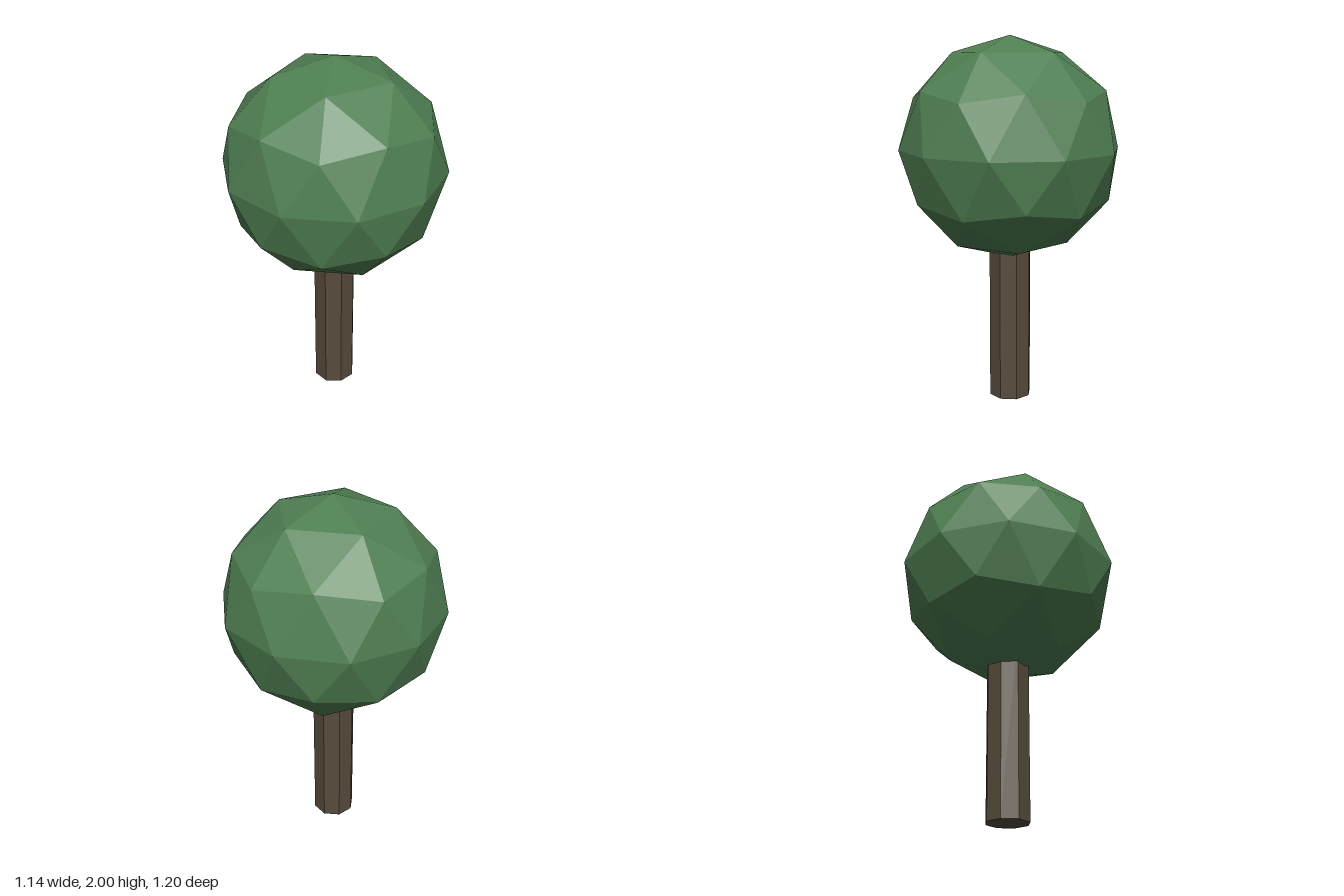
import * as THREE from 'three';

export function createModel() {
  const model = new THREE.Group();
  model.name = 'tree';

  const leafGreen = new THREE.MeshStandardMaterial({ color: 0x4f7f52, flatShading: true });
  leafGreen.name = 'leaf green';
  const barkBrown = new THREE.MeshStandardMaterial({ color: 0x574b3b, flatShading: true });
  barkBrown.name = 'bark brown';

  // Trunk: eight-sided post running up into the foliage
  const trunkHeight = 1;
  const trunk = new THREE.Mesh(
    new THREE.CylinderGeometry(0.118, 0.118, trunkHeight, 8).translate(0, trunkHeight / 2, 0),
    barkBrown
  );
  trunk.name = 'trunk';

  // Foliage: faceted ball turned so one corner points straight up
  const golden = (1 + Math.sqrt(5)) / 2;
  const ball = new THREE.IcosahedronGeometry(0.6, 1)
    .rotateX(-Math.atan(golden))
    .rotateY(Math.PI / 2)
    .translate(0, 1.4, 0);
  const foliage = new THREE.Mesh(ball, leafGreen);
  foliage.name = 'foliage';

  model.add(trunk, foliage);
  return model;
}
